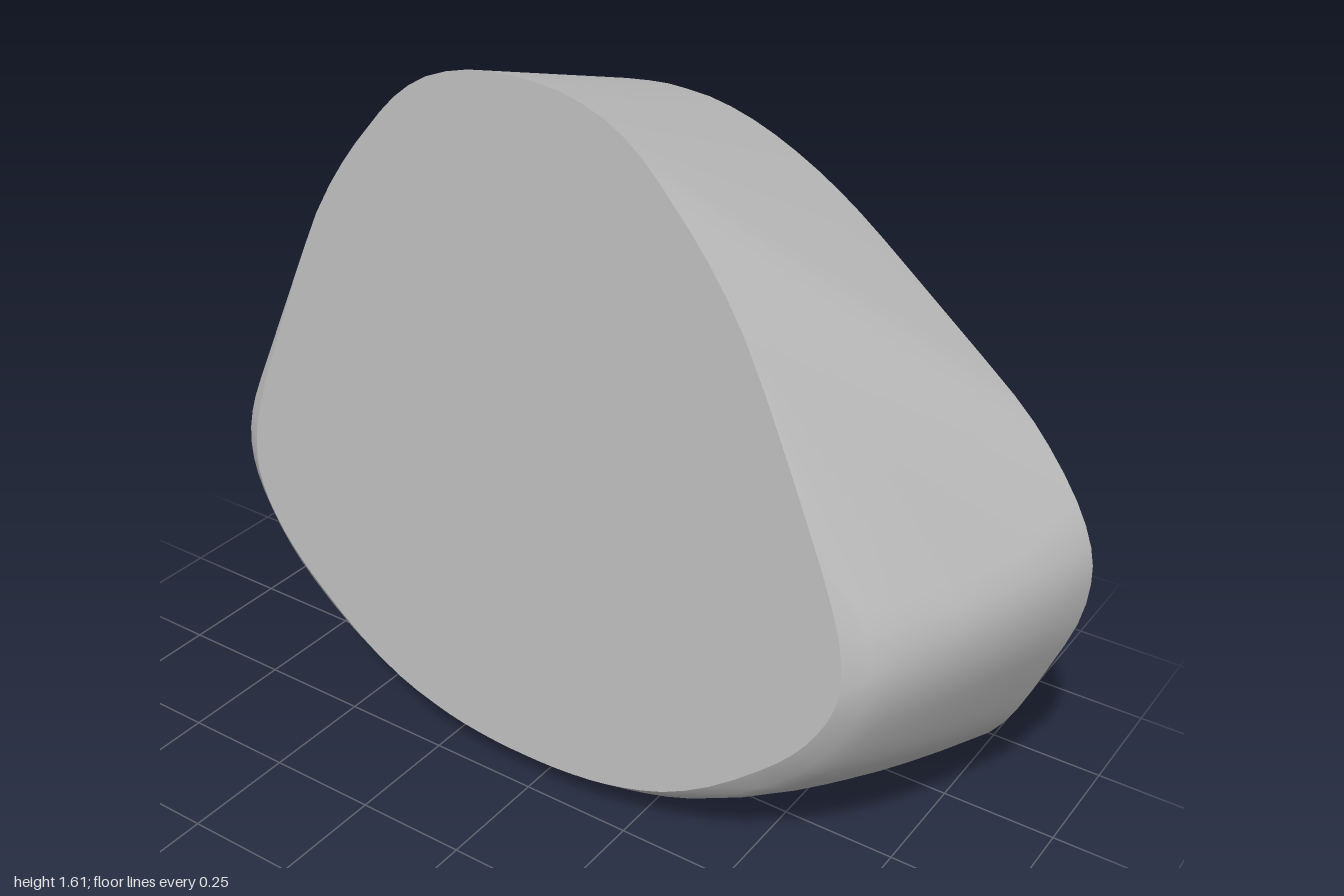
import * as THREE from 'three';
import { toCreasedNormals } from 'three/addons/utils/BufferGeometryUtils.js';
import { ConvexGeometry } from 'three/addons/geometries/ConvexGeometry.js';

const HALF = 0.257; // half of the thickness along x

// half profiles [z, y], from the top centre round to the bottom centre
const largeEnd = [
  [0, 1.45], [0.1, 1.442], [0.2, 1.415], [0.3, 1.37], [0.4, 1.31], [0.5, 1.235],
  [0.65, 1.11], [0.8, 0.985], [0.88, 0.9], [0.95, 0.8], [0.99, 0.71], [1, 0.63],
  [0.985, 0.53], [0.94, 0.41], [0.885, 0.28], [0.83, 0.195], [0.75, 0.13],
  [0.65, 0.08], [0.5, 0.03], [0.38, 0.01], [0.2, 0], [0, 0],
];
const smallEnd = [
  [0, 1.605], [0.1, 1.597], [0.2, 1.565], [0.28, 1.51], [0.35, 1.435], [0.42, 1.35],
  [0.5, 1.225], [0.58, 1.05], [0.655, 0.87], [0.69, 0.78], [0.722, 0.68], [0.733, 0.59],
  [0.722, 0.52], [0.69, 0.45], [0.64, 0.38], [0.57, 0.31], [0.46, 0.22],
  [0.35, 0.155], [0.25, 0.12], [0.17, 0.102], [0.08, 0.092], [0, 0.09],
];

// mirrored, smoothed outline of one cross-section
function outline(half) {
  const pts = half.map(([z, y]) => new THREE.Vector2(z, y));
  const mirrored = pts.slice(1, -1).reverse().map((p) => new THREE.Vector2(-p.x, p.y));
  const loop = [...pts, ...mirrored, pts[0].clone()];
  return new THREE.SplineCurve(loop).getPoints((loop.length - 1) * 2).slice(0, -1);
}

export function createModel() {
  const group = new THREE.Group();
  const grey = new THREE.MeshStandardMaterial({ color: 0xc0c0c0 });
  grey.name = 'plain grey';

  // cross-sections along x: straight near the top, bulging lower down
  const large = outline(largeEnd);
  const small = outline(smallEnd);
  const points = [];
  const steps = 8;
  for (let i = 0; i <= steps; i++) {
    const t = (i / steps) ** 1.4;
    const bulged = t ** 0.62;
    large.forEach((a, k) => {
      const b = small[k];
      const low = 1 - THREE.MathUtils.smoothstep(a.y, 0.65, 1.0);
      const f = THREE.MathUtils.lerp(t, bulged, low);
      points.push(new THREE.Vector3(
        THREE.MathUtils.lerp(-HALF, HALF, t),
        Math.max(0, THREE.MathUtils.lerp(b.y, a.y, f)),
        THREE.MathUtils.lerp(b.x, a.x, f),
      ));
    });
  }

  // solid rounded block, with sharp rims at its two flat ends
  const block = new THREE.Mesh(toCreasedNormals(new ConvexGeometry(points), 0.5), grey);
  block.name = 'roundedBlock';
  group.add(block);
  return group;
}
